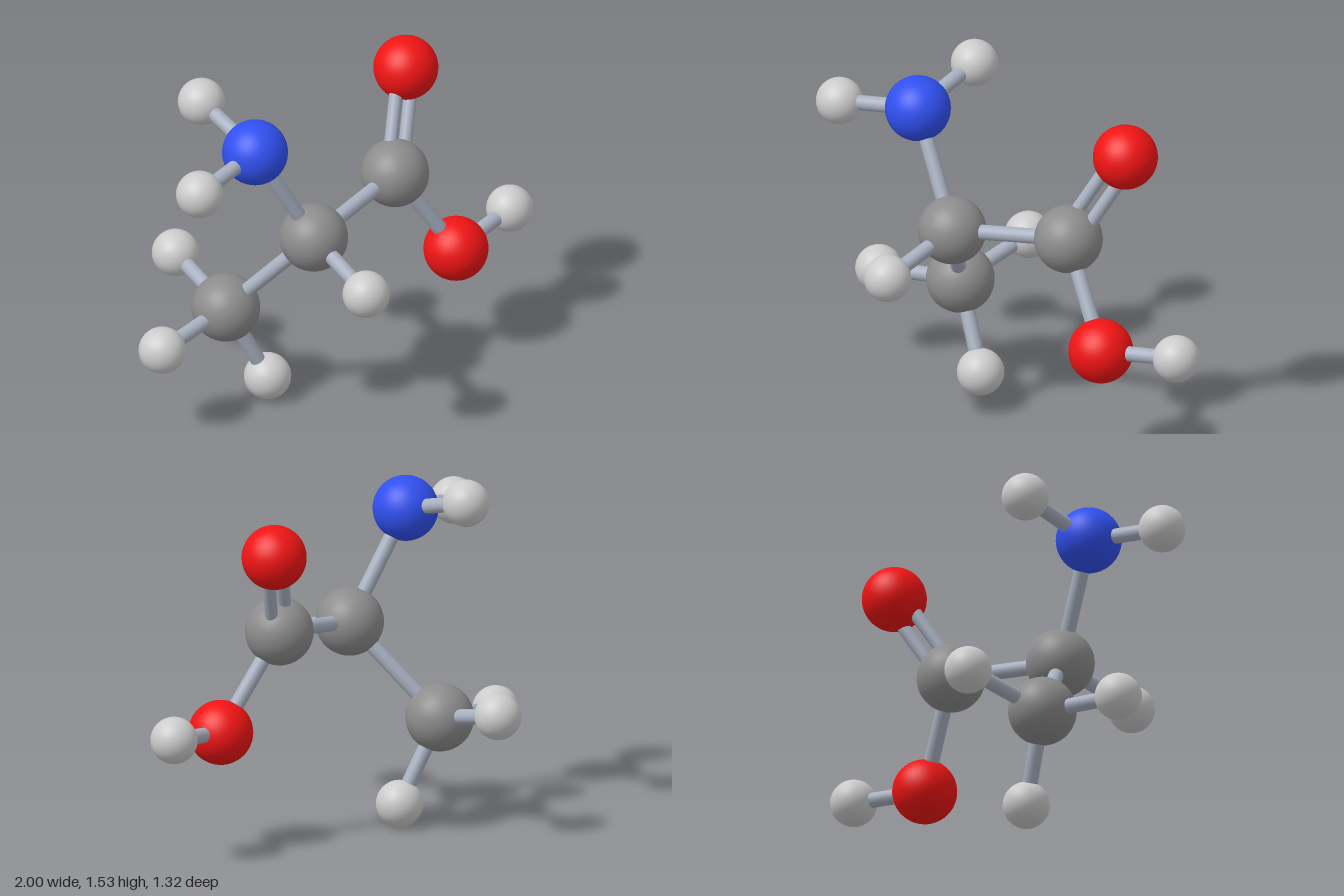
import * as THREE from 'three';

const material = (color) => new THREE.MeshStandardMaterial({ color });

export function createModel() {
  const model = new THREE.Group();

  // Element styles: ball radius and colour
  const elements = {
    carbon: { radius: 0.148, mat: material(0x8c8c8c) },
    nitrogen: { radius: 0.142, mat: material(0x3050f0) },
    oxygen: { radius: 0.14, mat: material(0xf01414) },
    hydrogen: { radius: 0.102, mat: material(0xcccccc) },
  };
  const bondMaterial = material(0xa8b0c0);

  // Atoms: element and centre
  const atoms = {
    centralCarbon: ['carbon', -0.267, 0.877, 0.163],
    acidCarbon: ['carbon', 0.278, 0.95, 0.028],
    methylCarbon: ['carbon', -0.497, 0.471, -0.157],
    amineNitrogen: ['nitrogen', -0.527, 1.348, 0.087],
    doubleBondOxygen: ['oxygen', 0.462, 1.335, -0.133],
    hydroxylOxygen: ['oxygen', 0.54, 0.53, 0.118],
    hydroxylHydrogen: ['hydrogen', 0.897, 0.57, 0.034],
    centralHydrogen: ['hydrogen', -0.289, 0.778, 0.56],
    amineHydrogenSide: ['hydrogen', -0.896, 1.305, 0.175],
    amineHydrogenBack: ['hydrogen', -0.529, 1.435, -0.287],
    methylHydrogenSide: ['hydrogen', -0.898, 0.427, -0.085],
    methylHydrogenBottom: ['hydrogen', -0.323, 0.106, -0.089],
    methylHydrogenBack: ['hydrogen', -0.46, 0.552, -0.559],
  };
  const position = {};
  for (const [name, [element, x, y, z]] of Object.entries(atoms)) {
    const { radius, mat } = elements[element];
    const ball = new THREE.Mesh(new THREE.SphereGeometry(radius, 40, 28), mat);
    ball.name = name;
    ball.position.set(x, y, z);
    position[name] = ball.position;
    model.add(ball);
  }

  // A rod between two atoms, optionally shifted sideways
  function addBond(from, to, radius = 0.033, shift = new THREE.Vector3()) {
    const a = position[from], b = position[to];
    const axis = b.clone().sub(a);
    const rod = new THREE.Mesh(new THREE.CylinderGeometry(radius, radius, axis.length(), 20), bondMaterial);
    rod.name = 'bond';
    rod.position.copy(a).add(b).multiplyScalar(0.5).add(shift);
    rod.quaternion.setFromUnitVectors(new THREE.Vector3(0, 1, 0), axis.normalize());
    model.add(rod);
  }

  // Single bonds
  const bonds = {
    centralCarbon: ['acidCarbon', 'methylCarbon', 'amineNitrogen', 'centralHydrogen'],
    acidCarbon: ['hydroxylOxygen'],
    hydroxylOxygen: ['hydroxylHydrogen'],
    amineNitrogen: ['amineHydrogenSide', 'amineHydrogenBack'],
    methylCarbon: ['methylHydrogenSide', 'methylHydrogenBottom', 'methylHydrogenBack'],
  };
  for (const [from, ends] of Object.entries(bonds)) ends.forEach((to) => addBond(from, to));

  // Double bond: two parallel rods
  const across = position.doubleBondOxygen.clone().sub(position.acidCarbon)
    .cross(new THREE.Vector3(0, 0, 1)).normalize();
  for (const side of [-1, 1]) {
    addBond('acidCarbon', 'doubleBondOxygen', 0.029, across.clone().multiplyScalar(side * 0.043));
  }

  return model;
}
